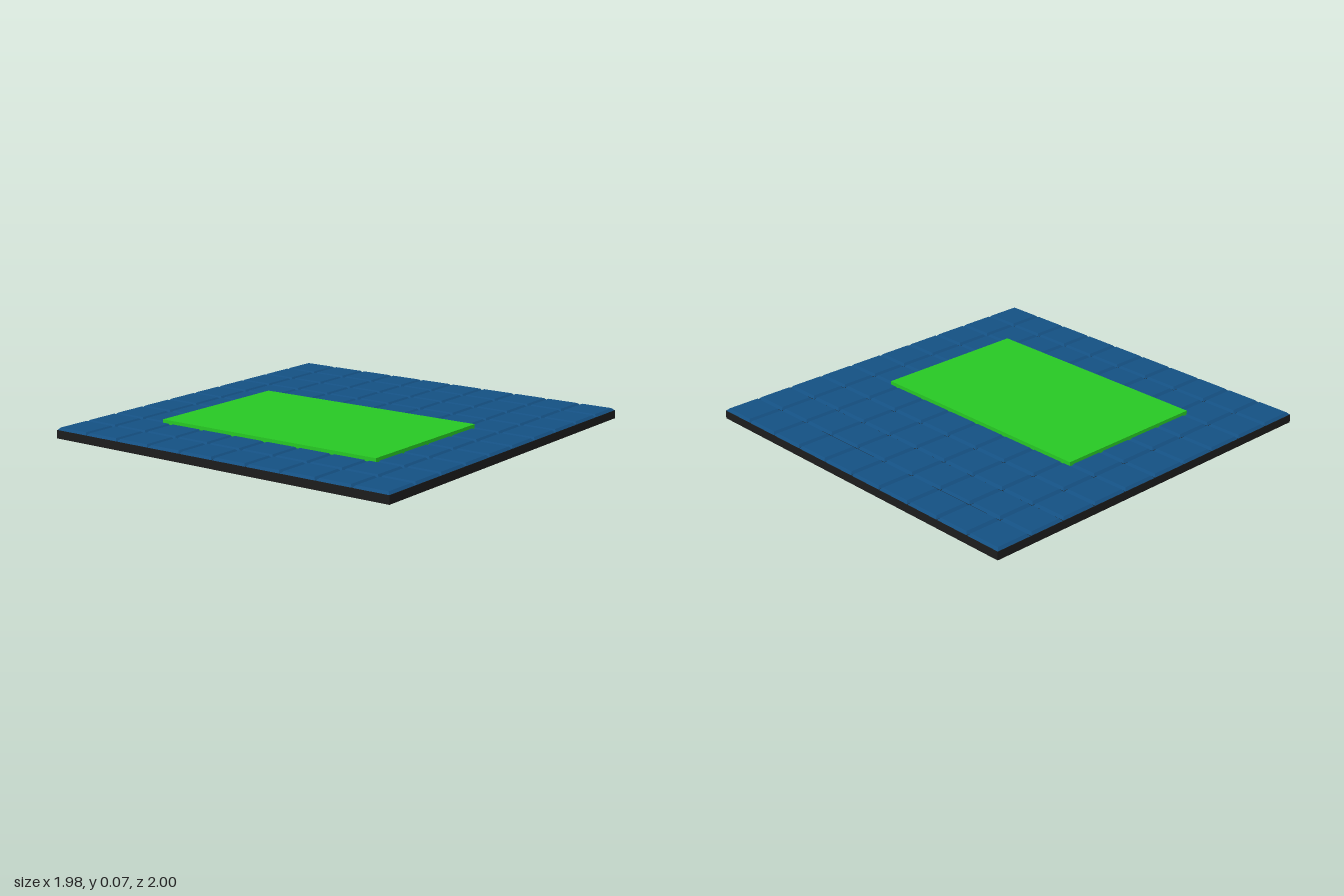
import * as THREE from 'three';

const COUNT = 10;
const WIDTH = 1.975;
const DEPTH = 2;
const BASE_TOP = 0.042;
const TILE_TOP = 0.054;

function material(color) {
  return new THREE.MeshStandardMaterial({ color, flatShading: true });
}

function block(name, w, h, d, x, bottom, z, mat) {
  const mesh = new THREE.Mesh(new THREE.BoxGeometry(w, h, d), mat);
  mesh.name = name;
  mesh.position.set(x, bottom + h / 2, z);
  return mesh;
}

// Tile with sloped sides: a box whose top corners are drawn in
function tileGeometry(w, h, d, bevel) {
  const geometry = new THREE.BoxGeometry(w, h, d);
  const p = geometry.attributes.position;
  for (let i = 0; i < p.count; i++) {
    if (p.getY(i) < 0) continue;
    p.setX(i, p.getX(i) - Math.sign(p.getX(i)) * bevel);
    p.setZ(i, p.getZ(i) - Math.sign(p.getZ(i)) * bevel);
  }
  geometry.computeVertexNormals();
  return geometry;
}

export function createModel() {
  const model = new THREE.Group();
  model.name = 'tiledFloor';

  // Dark slab under the tiles
  model.add(block('base', WIDTH, BASE_TOP, DEPTH, 0, 0, 0, material(0x1c1c1c)));

  // Grid of bevelled tiles
  const tiles = new THREE.Group();
  tiles.name = 'tiles';
  const stepX = WIDTH / COUNT;
  const stepZ = DEPTH / COUNT;
  const height = TILE_TOP - BASE_TOP;
  const geometry = tileGeometry(stepX - 0.004, height, stepZ - 0.004, 0.012);
  const blue = material(0x145082);
  for (let row = 0; row < COUNT; row++) {
    for (let col = 0; col < COUNT; col++) {
      const tile = new THREE.Mesh(geometry, blue);
      tile.name = `tile_${row}_${col}`;
      tile.position.set(
        (col - (COUNT - 1) / 2) * stepX,
        BASE_TOP + height / 2,
        (row - (COUNT - 1) / 2) * stepZ
      );
      tiles.add(tile);
    }
  }
  model.add(tiles);

  // Flat green mat lying on the tiles
  model.add(block('mat', 1.286, 0.022, 0.826, 0, 0.049, 0.202, material(0x27c824)));

  return model;
}
